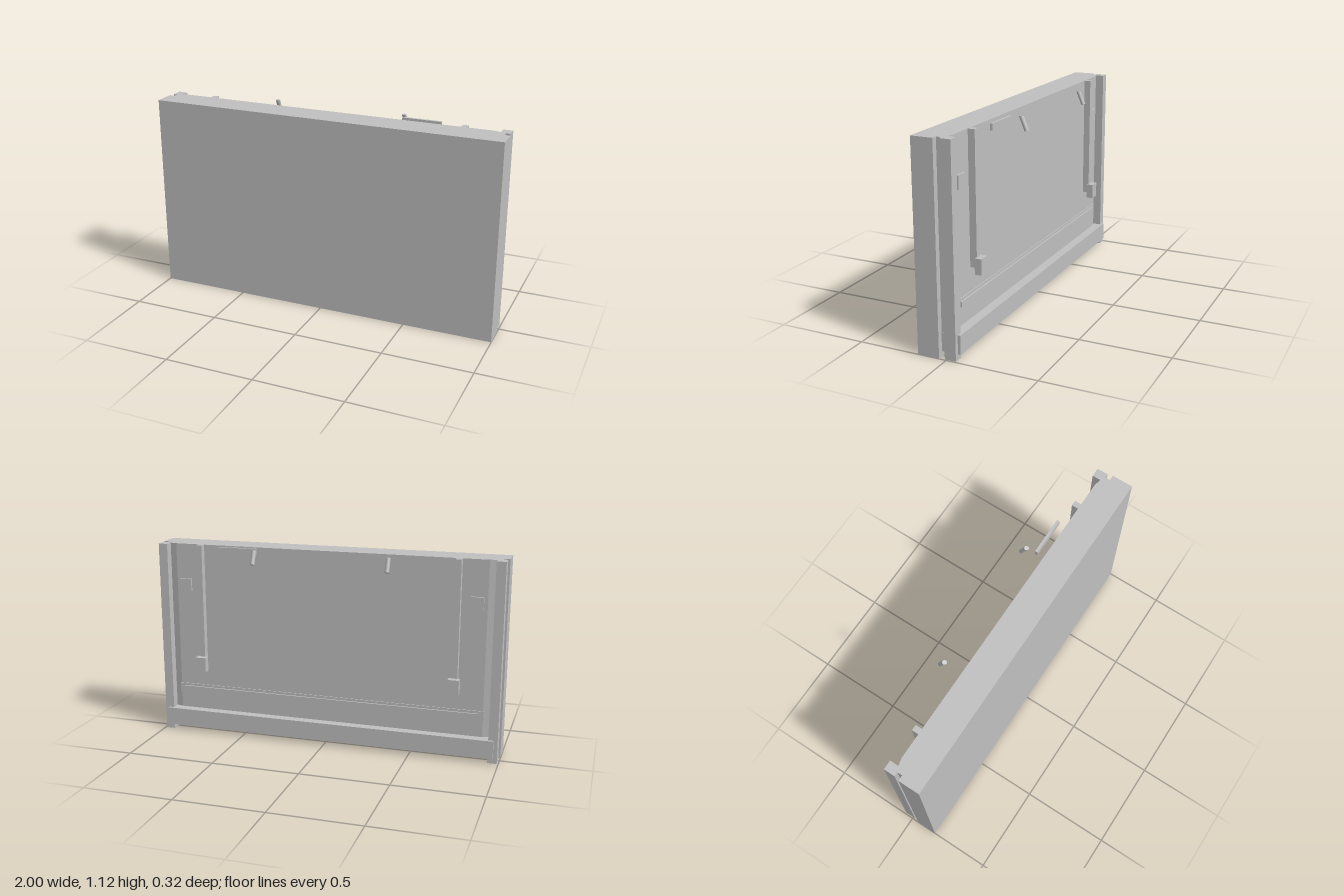
import * as THREE from 'three';

const HEIGHT = 1.12;

export function createModel() {
  const group = new THREE.Group();
  const grey = new THREE.MeshStandardMaterial({ color: 0xc0c0c0 });
  grey.name = 'light grey';

  const add = (name, geometry) => {
    const mesh = new THREE.Mesh(geometry, grey);
    mesh.name = name;
    group.add(mesh);
    return mesh;
  };

  // Box given by its limits on each axis
  const box = (name, [x0, x1], [y0, y1], [z0, z1]) => {
    const g = new THREE.BoxGeometry(x1 - x0, y1 - y0, z1 - z0);
    g.translate((x0 + x1) / 2, (y0 + y1) / 2, (z0 + z1) / 2);
    return add(name, g);
  };

  // The same box on both sides
  const pair = (name, [x0, x1], y, z) => {
    box(name + 'Left', [x0, x1], y, z);
    box(name + 'Right', [-x1, -x0], y, z);
  };

  // Thick front slab
  box('frontPanel', [-1, 1], [0, HEIGHT], [0.04, 0.161]);

  // Backing board with slightly bevelled long edges, drawn in x and -z
  const outline = new THREE.Shape([
    [-0.95, -0.04], [0.95, -0.04], [0.95, 0.0], [0.9, 0.012], [-0.9, 0.012], [-0.95, 0.0],
  ].map(([x, y]) => new THREE.Vector2(x, y)));
  const board = new THREE.ExtrudeGeometry(outline, { depth: HEIGHT - 0.03, bevelEnabled: false });
  board.rotateX(-Math.PI / 2);
  board.translate(0, 0.03, 0);
  add('backBoard', board);

  // Side posts held off the slab by narrow webs
  pair('sidePost', [0.94, 0.992], [0, HEIGHT], [-0.051, 0.012]);
  pair('postWeb', [0.932, 0.968], [0.03, HEIGHT], [0.01, 0.042]);

  // Bottom rail across the back
  box('bottomRail', [-0.97, 0.97], [0.03, 0.133], [-0.066, 0.042]);

  // Vertical strips with a stop block at the lower end
  pair('strip', [0.726, 0.758], [0.41, HEIGHT], [-0.05, -0.01]);
  pair('stopBlock', [0.71, 0.773], [0.38, 0.466], [-0.084, -0.045]);

  // Small square plates
  pair('squarePlate', [0.81, 0.88], [0.845, 0.918], [-0.024, -0.01]);

  // Long plate with a raised bar
  box('longPlate', [-0.905, 0.905], [0.225, 0.282], [-0.017, -0.01]);
  box('raisedBar', [-0.875, 0.875], [0.237, 0.268], [-0.026, -0.015]);

  // Flat label plate near the top
  box('topPlate', [0.39, 0.608], [1.085, HEIGHT], [-0.069, -0.054]);

  // Slanted pegs, cut level at the top
  const tilt = 0.4;
  const axis = new THREE.Vector3(0, Math.cos(tilt), Math.sin(tilt));
  const p = new THREE.Vector3();
  for (const [name, x] of [['pegLeft', 0.38], ['pegRight', -0.38]]) {
    const g = new THREE.CylinderGeometry(0.012, 0.012, 0.08, 24);
    const pos = g.attributes.position;
    g.translate(0, 0.04, 0);
    const isTop = Array.from({ length: pos.count }, (_, i) => pos.getY(i) > 0.04);
    g.rotateX(tilt);
    g.translate(x, 1.045, -0.147);
    for (let i = 0; i < pos.count; i++) {
      if (!isTop[i]) continue;
      p.fromBufferAttribute(pos, i);
      p.addScaledVector(axis, (HEIGHT - p.y) / axis.y);
      pos.setXYZ(i, p.x, p.y, p.z);
    }
    add(name, g);
  }

  return group;
}
